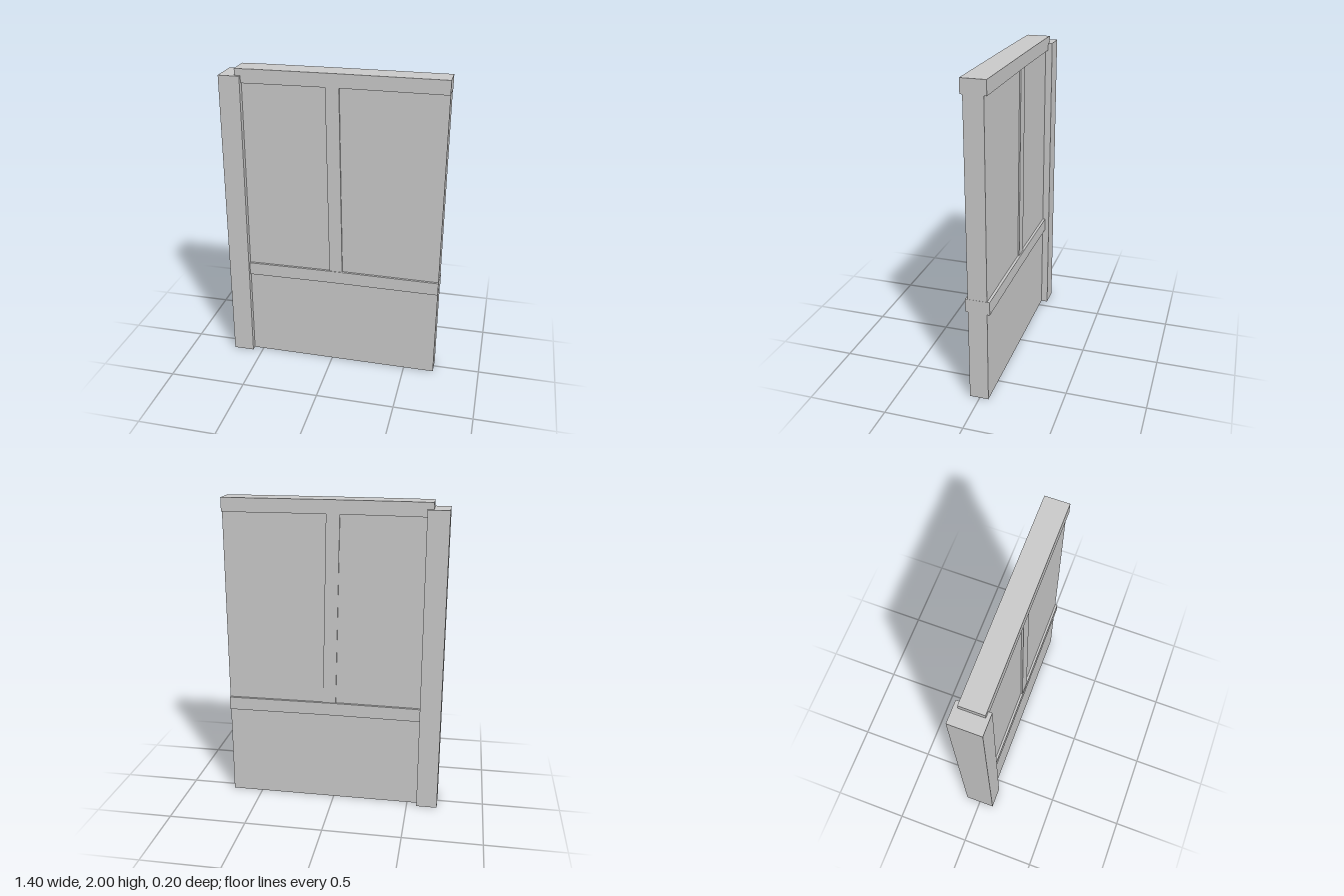
import * as THREE from 'three';

const material = new THREE.MeshStandardMaterial({ color: 0xcccccc, flatShading: true });

// Upright slab: a front outline (counter-clockwise) extruded from zBack to zFront
function slab(name, outline, zBack, zFront) {
  const shape = new THREE.Shape(outline.map(([x, y]) => new THREE.Vector2(x, y)));
  const geometry = new THREE.ExtrudeGeometry(shape, { depth: zFront - zBack, bevelEnabled: false });
  geometry.translate(0, 0, zBack);
  const mesh = new THREE.Mesh(geometry, material);
  mesh.name = name;
  return mesh;
}

// Horizontal timber whose edges rise slightly toward the middle
function rail(name, xLeft, yBottom, yTop) {
  const bend = [[xLeft, -0.004], [-0.48, -0.002], [0, 0.002], [0.7, 0]];
  const lower = bend.map(([x, d]) => [x, yBottom + d]);
  const upper = bend.map(([x, d]) => [x, Math.min(yTop + d, 2)]).reverse();
  return slab(name, [...lower, ...upper], -0.073, 0.079);
}

export function createModel() {
  const wall = new THREE.Group();
  wall.name = 'timberWall';

  // Plaster infill
  wall.add(slab('panel', [[-0.6, 0], [0.699, 0], [0.699, 1.95], [-0.6, 1.95]], -0.056, 0.064));

  // Corner post
  wall.add(slab('cornerPost', [[-0.7, 0], [-0.565, 0], [-0.565, 1.955], [-0.7, 1.955]], -0.1, 0.1));

  // Top beam and middle rail
  wall.add(rail('topBeam', -0.603, 1.912, 2));
  wall.add(rail('middleRail', -0.603, 0.6, 0.685));

  // Leaning stud between the rails
  wall.add(slab('stud', [[-0.014, 0.64], [0.071, 0.64], [0.044, 1.95], [-0.041, 1.95]], -0.065, 0.076));

  return wall;
}
